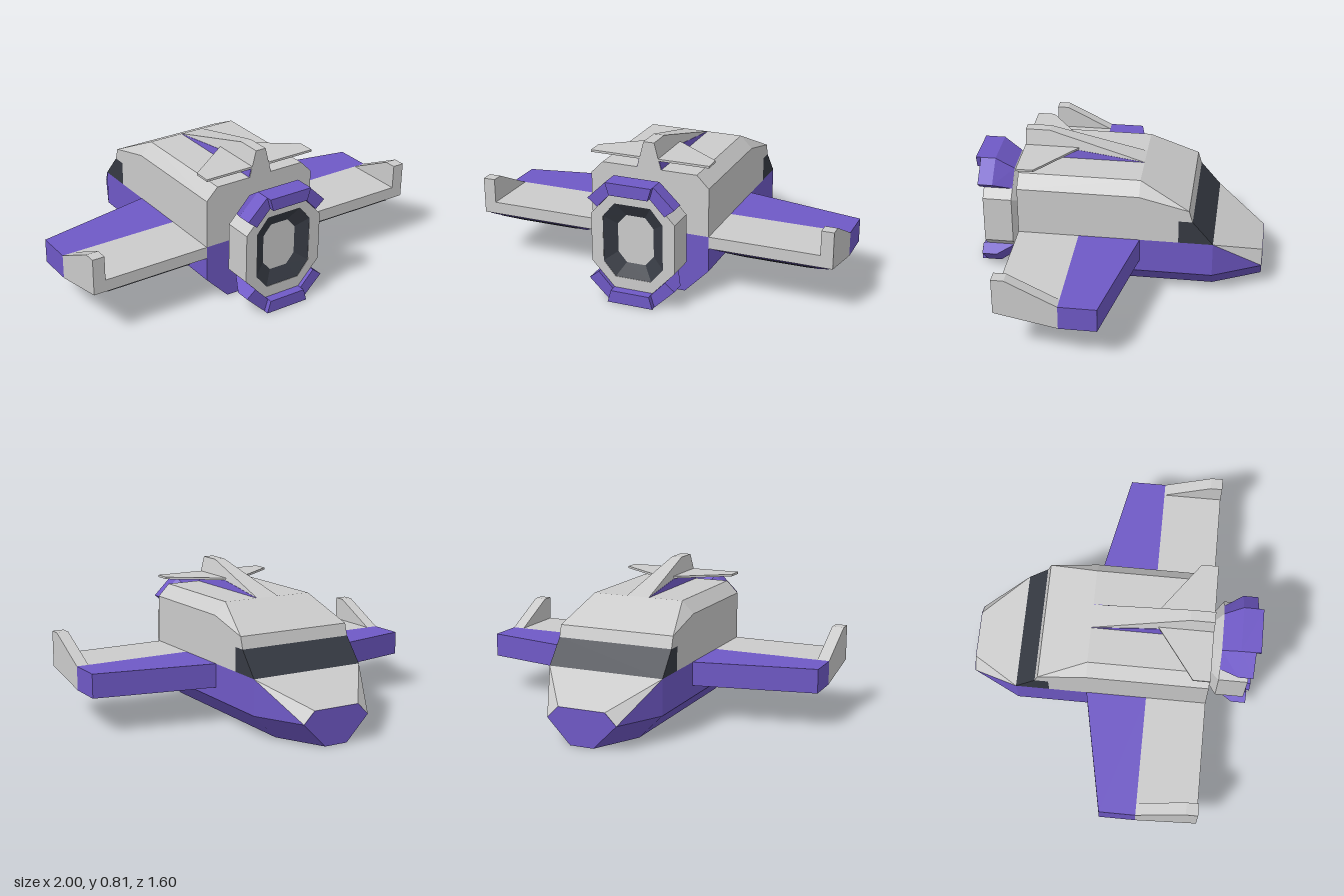
import * as THREE from 'three';
import { ConvexGeometry } from 'three/addons/geometries/ConvexGeometry.js';

const material = (color) => new THREE.MeshStandardMaterial({ color, flatShading: true, side: THREE.DoubleSide });
const MID_Y = 0.333;

export function createModel() {
  const model = new THREE.Group();
  const grey = material(0xcccccc), purple = material(0x6f59c6), dark = material(0x363a43);

  const add = (name, geometry, mat) => {
    const mesh = new THREE.Mesh(geometry, mat);
    mesh.name = name;
    model.add(mesh);
    return mesh;
  };
  // flat-faced solid around a few corner points
  const solid = (name, mat, pts) =>
    add(name, new ConvexGeometry(pts.map((p) => new THREE.Vector3(...p))), mat);
  // corner points repeated on the other side of the body
  const both = (pts) => pts.flatMap(([x, y, z]) => [[x, y, z], [-x, y, z]]);
  const pair = (name, mat, pts) => {
    solid('left' + name, mat, pts);
    solid('right' + name, mat, pts.map(([x, y, z]) => [-x, y, z]));
  };
  // eight corners: half width, half height, corner cuts
  const octagon = (hx, hy, cx, cy) => [
    [hx, cy - hy], [hx, hy - cy], [hx - cx, hy], [cx - hx, hy],
    [-hx, hy - cy], [-hx, cy - hy], [cx - hx, -hy], [hx - cx, -hy],
  ];
  const shapeOf = (pts) => new THREE.Shape(pts.map(([x, y]) => new THREE.Vector2(x, y)));
  const at = (pts, z) => pts.map(([x, y]) => [x, y + MID_Y, z]);

  // Hull
  const noseSide = [0.2, 0.135, -0.8], noseTop = [0.135, 0.2, -0.8], sill = [0.333, 0.333, -0.533];
  solid('lowerHull', purple, both([
    [0.2, 0, 0.533], [0.333, 0.135, 0.533], [0.333, 0.333, 0.533],
    [0.2, 0, -0.533], [0.333, 0.135, -0.533], sill, [0.067, 0, -0.8], noseSide,
  ]));
  solid('noseDeck', grey, both([sill, noseSide, noseTop]));
  solid('noseTip', purple, both([noseSide, noseTop, [0.2, 0.135, -0.802], [0.135, 0.2, -0.802]]));
  solid('cabinSide', grey, both([
    [0.333, 0.333, 0.533], [0.333, 0.467, 0.533], [0.333, 0.333, -0.345], [0.333, 0.467, -0.345],
  ]));
  solid('windscreen', dark, both([
    sill, [0.333, 0.467, -0.42], [0.333, 0.333, -0.345], [0.333, 0.467, -0.345],
  ]));
  solid('cabinRoof', grey, both([
    [0.333, 0.467, 0.533], [0.333, 0.6, 0.533], [0.267, 0.667, 0.533], [0.333, 0.467, -0.42],
    [0.333, 0.533, -0.4], [0.333, 0.6, -0.13], [0.267, 0.667, -0.13],
  ]));

  // Tail fin with coloured flanks, and the small tailplane
  solid('tailFin', grey, both([
    [0.067, 0.667, -0.13], [0.067, 0.667, 0.533], [0.03, 0.81, 0.4], [0.03, 0.81, 0.533],
  ]));
  pair('FinFlank', purple, [
    [0.069, 0.667, -0.13], [0.069, 0.667, 0.53], [0.058, 0.712, 0.24], [0.058, 0.712, 0.53],
    [0.04, 0.667, -0.1], [0.04, 0.667, 0.53],
  ]);
  const tailplane = [[0.03, 0.22], [0.06, 0.24], [0.333, 0.44], [0.333, 0.533], [0.03, 0.533]];
  pair('Tailplane', grey, tailplane.flatMap(([x, z]) => [[x, 0.713, z], [x, 0.725, z]]));

  // Wings and upright tips
  pair('WingFront', purple, [0.2, 0.333].flatMap((y) => [
    [0.333, y, -0.135], [1, y, 0], [1, y, 0.2], [0.333, y, 0.2],
  ]));
  pair('WingRear', grey, [0.333, 1].flatMap((x) => [
    [x, 0.2, 0.2], [x, 0.333, 0.2], [x, 0.267, 0.533], [x, 0.333, 0.533],
  ]));
  pair('Winglet', grey, [0.933, 1].flatMap((x) => [
    [x, 0.333, 0.2], [x, 0.467, 0.467], [x, 0.467, 0.533], [x, 0.333, 0.533],
  ]));

  // Pods under the wings, each with a sloping dark vent
  const podX = 0.667;
  const podRow = (half, y, z) => [[podX - half, y, z], [podX + half, y, z]];
  pair('WingPod', purple, [
    ...podRow(0.25, 0.2, 0.2), ...podRow(0.2, 0.167, 0.2),
    ...podRow(0.2, 0.167, 0.35), ...podRow(0.31, 0.258, 0.52),
  ]);
  pair('PodVent', dark, [
    ...podRow(0.245, 0.25, 0.508), ...podRow(0.17, 0.195, 0.405),
    ...podRow(0.245, 0.249, 0.512), ...podRow(0.17, 0.194, 0.409),
  ]);

  // Engine: flared neck, ring, dark funnel and inner plate
  const ringOuter = octagon(0.233, 0.267, 0.126, 0.133);
  const funnelOuter = octagon(0.167, 0.205, 0.067, 0.08);
  const funnelInner = octagon(0.1, 0.133, 0.047, 0.055);
  solid('engineNeck', grey, [...at(octagon(0.167, 0.2, 0.09, 0.1), 0.533), ...at(ringOuter, 0.59)]);
  const ringShape = shapeOf(ringOuter);
  ringShape.holes.push(shapeOf(funnelOuter));
  add('engineRing', new THREE.ExtrudeGeometry(ringShape, { depth: 0.16, bevelEnabled: false }), grey)
    .position.set(0, MID_Y, 0.59);

  const rim = at(funnelOuter, 0.748), throat = at(funnelInner, 0.71);
  const funnel = new THREE.BufferGeometry();
  funnel.setAttribute('position', new THREE.Float32BufferAttribute([...rim, ...throat].flat(), 3));
  const index = [];
  for (let i = 0; i < 8; i++) {
    const j = (i + 1) % 8;
    index.push(i, j, i + 8, j, j + 8, i + 8);
  }
  funnel.setIndex(index);
  funnel.computeVertexNormals();
  add('engineFunnel', funnel, dark);
  add('enginePlate', new THREE.ShapeGeometry(shapeOf(funnelInner)), grey).position.set(0, MID_Y, 0.71);

  // Collar plates above and below the ring: one in the middle, one on each corner
  for (const [label, up] of [['Upper', 1], ['Lower', -1]]) {
    const plate = (a, b, outerA, outerB, end) => [
      ...[a, b].map(([x, y]) => [x, MID_Y + up * y, 0.59]),
      ...[a, b, outerA, outerB].flatMap(([x, y]) => [0.69, end].map((z) => [x, MID_Y + up * y, z])),
    ];
    solid('collar' + label + 'Middle', purple,
      plate([-0.107, 0.267], [0.107, 0.267], [-0.127, 0.334], [0.127, 0.334], 0.8));
    pair('Collar' + label + 'Corner', purple,
      plate([0.107, 0.267], [0.187, 0.182], [0.127, 0.334], [0.24, 0.225], 0.772));
  }
  return model;
}
